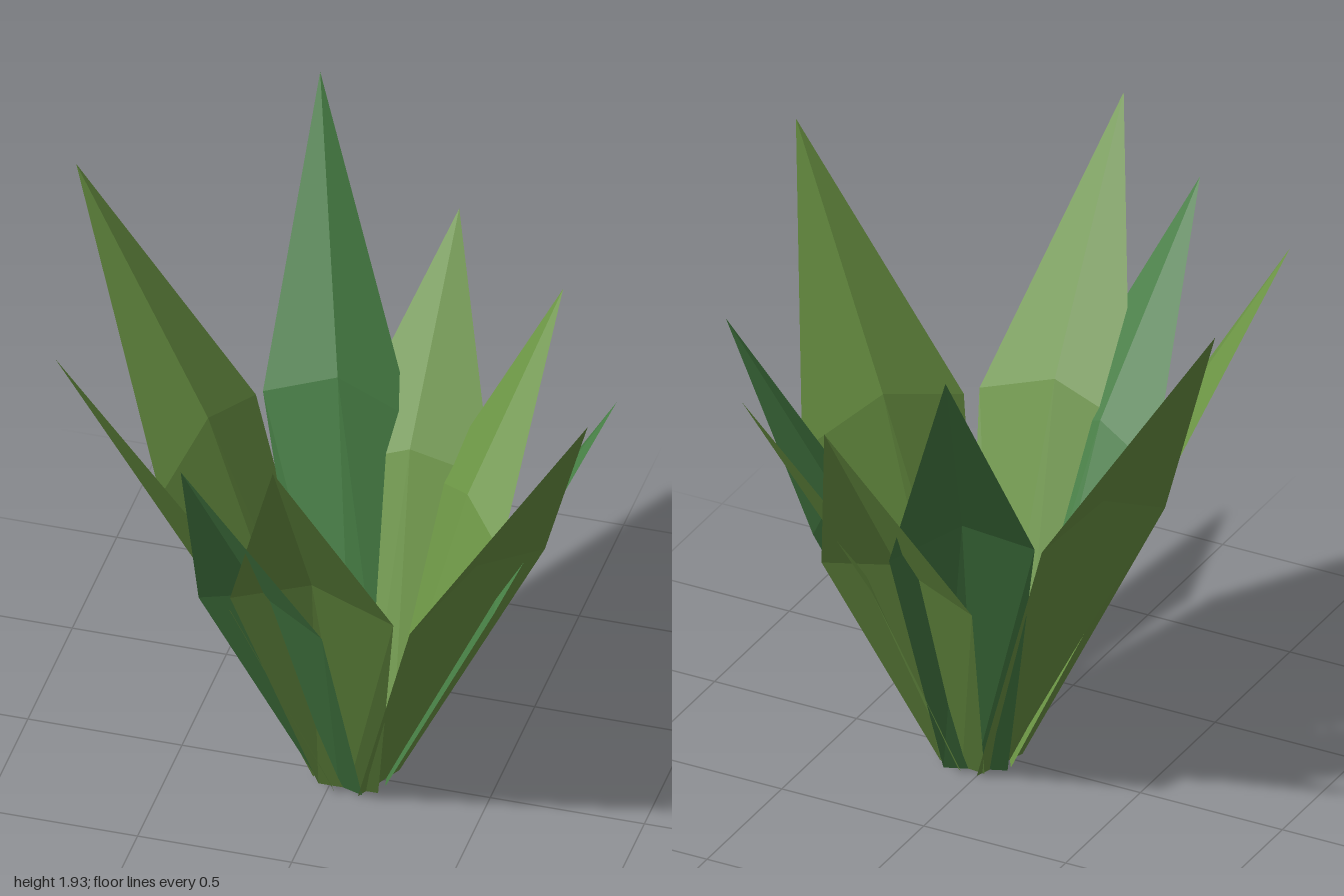
import * as THREE from 'three';

const OLIVE = 0x6b9444, DEEP = 0x477f45;

// One leaf per row: left corner, right corner (seen from outside), tip, colour
const LEAVES = [
  [[-0.20, 0.98, 0.50], [0.33, 0.98, 0.50], [0.08, 1.86, 0.99], OLIVE],
  [[0.38, 0.95, 0.49], [0.66, 0.95, -0.06], [0.94, 1.82, 0.43], OLIVE],
  [[0.53, 0.76, 0.07], [0.49, 0.82, -0.31], [0.85, 1.45, -0.21], DEEP],
  [[0.475, 0.8, -0.20], [0.17, 0.8, -0.52], [0.535, 1.48, -0.70], OLIVE],
  [[0.36, 0.85, -0.50], [-0.17, 0.8, -0.50], [0.14, 1.57, -0.90], OLIVE],
  [[0.08, 0.97, -0.58], [-0.37, 1.07, -0.46], [-0.34, 1.93, -1.00], DEEP],
  [[-0.39, 1.06, -0.45], [-0.55, 1.0, 0.07], [-0.94, 1.92, -0.335], OLIVE],
  [[-0.50, 0.97, 0.07], [-0.22, 0.85, 0.41], [-0.77, 1.78, 0.49], OLIVE],
  [[-0.325, 0.9, 0.42], [0.105, 0.9, 0.525], [-0.255, 1.71, 0.865], DEEP],
];

const CENTRE = new THREE.Vector3(0.06, 0, -0.02);
const BASE_RADIUS = 0.095;

// Folded blade: narrow foot, wide middle with a raised midrib, pointed tip
function leafGeometry(left, right, tip) {
  const l = new THREE.Vector3(...left), r = new THREE.Vector3(...right), t = new THREE.Vector3(...tip);
  const rib = l.clone().add(r).multiplyScalar(0.5);
  const out = rib.clone().sub(CENTRE).setY(0).normalize();
  const side = new THREE.Vector3(out.z, 0, -out.x);
  rib.y += 0.055 * t.y;

  const foot = (offset) => CENTRE.clone().addScaledVector(out, BASE_RADIUS).addScaledVector(side, offset);
  const half = 0.052 * t.y;
  const points = [foot(-half), foot(0), foot(half), l, rib, r, t];

  const geometry = new THREE.BufferGeometry().setFromPoints(points);
  geometry.setIndex([0, 1, 4, 0, 4, 3, 1, 2, 5, 1, 5, 4, 3, 4, 6, 4, 5, 6]);
  const flat = geometry.toNonIndexed();
  flat.computeVertexNormals();
  return flat;
}

export function createModel() {
  const plant = new THREE.Group();
  plant.name = 'leafyPlant';

  const materials = {};
  for (const color of [OLIVE, DEEP]) {
    materials[color] = new THREE.MeshStandardMaterial({ color, flatShading: true, side: THREE.DoubleSide });
  }

  // Rosette of leaves around the open foot
  LEAVES.forEach(([left, right, tip, color], i) => {
    const leaf = new THREE.Mesh(leafGeometry(left, right, tip), materials[color]);
    leaf.name = `leaf${i + 1}`;
    plant.add(leaf);
  });
  return plant;
}
